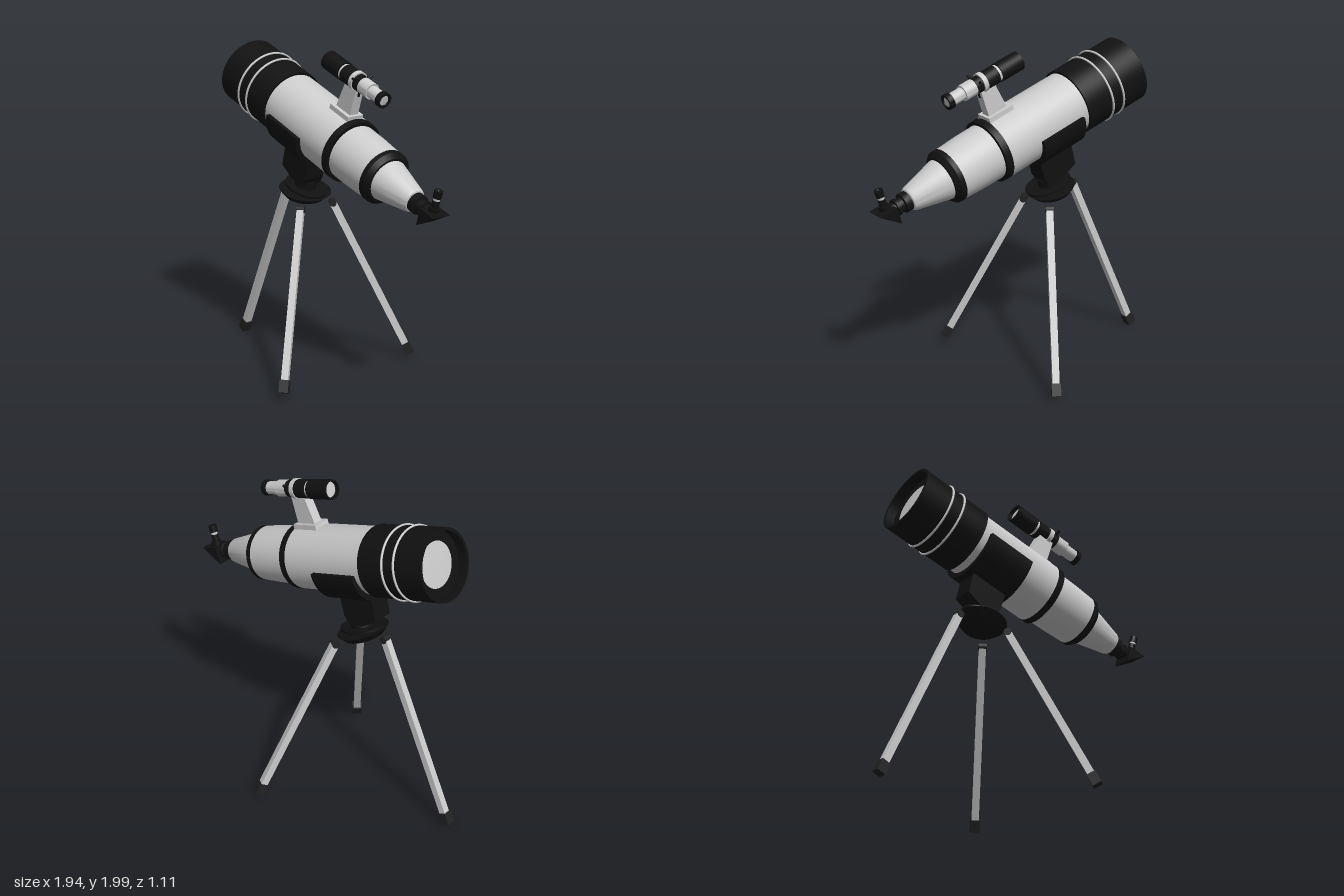
import * as THREE from 'three';
import { toCreasedNormals } from 'three/addons/utils/BufferGeometryUtils.js';

const light = new THREE.MeshStandardMaterial({ color: 0xcccccc });
const black = new THREE.MeshStandardMaterial({ color: 0x111111 });
const rubber = new THREE.MeshStandardMaterial({ color: 0x222222 });

function add(parent, name, geometry, material, x = 0, y = 0, z = 0) {
  const mesh = new THREE.Mesh(geometry, material);
  mesh.name = name;
  mesh.position.set(x, y, z);
  parent.add(mesh);
  return mesh;
}

// Turned part: pairs of [distance along the axis, radius]
function turned(profile, sides = 48) {
  const points = profile.map(([s, r]) => new THREE.Vector2(r, s));
  return toCreasedNormals(new THREE.LatheGeometry(points, sides), 0.5);
}
const alongX = (profile, sides) => turned(profile, sides).rotateZ(-Math.PI / 2);

// Flat outline given thickness, centred on z = 0
function slab(outline, width) {
  const shape = new THREE.Shape(outline.map(([x, y]) => new THREE.Vector2(x, y)));
  return new THREE.ExtrudeGeometry(shape, { depth: width, bevelEnabled: false })
    .translate(0, 0, -width / 2);
}

function buildMainTube(scope) {
  add(scope, 'dewHood', alongX([[0.06, 0.12], [0.06, 0.19], [0, 0.19], [0, 0.208],
    [0.455, 0.208], [0.455, 0.19]], 64), black);
  add(scope, 'objectiveLens', alongX([[0.055, 0], [0.06, 0.132]]), light);
  for (const u of [0.19, 0.274]) {
    add(scope, 'hoodBand', new THREE.TorusGeometry(0.211, 0.007, 8, 64).rotateY(Math.PI / 2), light, u);
  }
  add(scope, 'mainBarrel', alongX([[0.45, 0.194], [1.04, 0.194]], 64), light);
  add(scope, 'frontCollar', alongX([[1.035, 0.19], [1.035, 0.197], [1.078, 0.195], [1.078, 0.165]], 64), black);
  add(scope, 'rearBarrel', alongX([[1.07, 0.173], [1.2, 0.171], [1.36, 0.163]], 64), light);
  add(scope, 'rearCollar', alongX([[1.355, 0.15], [1.355, 0.166], [1.385, 0.165], [1.412, 0.14], [1.412, 0.12]], 64), black);
  add(scope, 'tailCone', alongX([[1.41, 0.127], [1.635, 0.075], [1.65, 0.067], [1.656, 0.055], [1.656, 0]]), light);
}

function buildEyepiece(scope) {
  add(scope, 'focuser', alongX([[1.65, 0.05], [1.655, 0.059], [1.695, 0.059], [1.7, 0.044], [1.725, 0.044],
    [1.727, 0.05], [1.745, 0.05], [1.747, 0.036], [1.77, 0.036]], 32), black);
  add(scope, 'diagonalPrism', slab([[1.76, 0.03], [1.76, -0.077], [1.876, 0.03]], 0.12), black);
  add(scope, 'eyepieceHolder', turned([[0.025, 0.03], [0.055, 0.03], [0.055, 0.022], [0.1, 0.022]], 24), black, 1.807);
  add(scope, 'eyepieceBand', turned([[0.098, 0.019], [0.118, 0.019]], 24), light, 1.807);
  add(scope, 'eyepieceCup', turned([[0.115, 0], [0.115, 0.025], [0.158, 0.025], [0.158, 0.015], [0.148, 0]], 24), black, 1.807);
}

function buildFinder(scope) {
  // Base shoe and stalk
  add(scope, 'finderShoe', new THREE.BoxGeometry(0.175, 0.035, 0.11), light, 0.945, 0.198);
  add(scope, 'finderStalk', slab([[0.882, 0.21], [1.015, 0.21], [1.02, 0.385], [0.92, 0.385]], 0.06), light);

  // Small sighting scope
  const finder = new THREE.Group();
  finder.name = 'finderScope';
  finder.position.set(0.709, 0.418, 0);
  scope.add(finder);
  add(finder, 'finderHood', alongX([[0.025, 0.04], [0.02, 0.049], [0, 0.049], [0, 0.058], [0.157, 0.058], [0.157, 0.045]], 32), black);
  add(finder, 'finderLens', alongX([[0.02, 0], [0.022, 0.05]], 32), light);
  add(finder, 'finderRing', alongX([[0.155, 0.05], [0.177, 0.05]], 32), light);
  add(finder, 'finderBody', alongX([[0.175, 0.04], [0.175, 0.055], [0.26, 0.055], [0.262, 0.05], [0.335, 0.05], [0.335, 0.04]], 32), black);
  add(finder, 'finderClamp', alongX([[0.262, 0.048], [0.262, 0.059], [0.29, 0.059], [0.29, 0.048]], 32), light);
  add(finder, 'finderRearBarrel', alongX([[0.333, 0.04], [0.333, 0.049], [0.415, 0.049], [0.415, 0.038], [0.505, 0.038]], 32), light);
  add(finder, 'finderEyecup', alongX([[0.498, 0.036], [0.498, 0.047], [0.53, 0.047], [0.53, 0.032], [0.522, 0.03]], 32), black);
  add(finder, 'finderEyeLens', alongX([[0.523, 0.032], [0.525, 0]], 32), light);
  for (let i = 0; i < 3; i++) {
    const screw = add(finder, 'clampScrew', new THREE.CylinderGeometry(0.008, 0.008, 0.04, 10).translate(0, 0.062, 0), black, 0.31);
    screw.rotation.x = Math.PI / 3 + i * Math.PI * 2 / 3;
  }
}

function buildMount(scope) {
  // Half-round cradle hugging the underside of the barrel
  const cradle = new THREE.Shape();
  cradle.moveTo(-0.218, -0.015);
  cradle.absarc(0, -0.015, 0.218, Math.PI, Math.PI * 2, false);
  cradle.lineTo(0.185, -0.015);
  cradle.absarc(0, -0.015, 0.185, Math.PI * 2, Math.PI, true);
  const cradleGeometry = new THREE.ExtrudeGeometry(cradle, { depth: 0.315, bevelEnabled: false, curveSegments: 32 });
  add(scope, 'cradle', toCreasedNormals(cradleGeometry.rotateY(Math.PI / 2), 0.5), black, 0.503);

  add(scope, 'mountBlock', slab([[0.542, -0.2], [0.785, -0.2], [0.787, -0.335], [0.77, -0.385],
    [0.66, -0.395], [0.55, -0.358]], 0.13), black);
  add(scope, 'neck', new THREE.CylinderGeometry(0.062, 0.068, 0.07, 24), black, 0.725, -0.405);
  add(scope, 'turntable', new THREE.CylinderGeometry(0.143, 0.143, 0.014, 40).scale(1, 1, 0.8), black, 0.727, -0.424);
  add(scope, 'pivot', new THREE.CylinderGeometry(0.09, 0.09, 0.025, 32), black, 0.727, -0.438);
  add(scope, 'tripodHead', toCreasedNormals(new THREE.CylinderGeometry(0.145, 0.11, 0.04, 40), 0.5).scale(1, 1, 1.15), black, 0.727, -0.463);
}

// Square leg with a rubber foot, running from the hinge to the ground
function buildLeg(model, top, bottom) {
  const up = top.clone().sub(bottom);
  const length = up.length();
  up.normalize();
  const side = new THREE.Vector3(0, 1, 0).cross(up).normalize();
  const out = side.clone().cross(up);
  const leg = new THREE.Group();
  leg.name = 'tripodLeg';
  leg.position.copy(bottom);
  leg.quaternion.setFromRotationMatrix(new THREE.Matrix4().makeBasis(side, up, out));
  add(leg, 'legBar', new THREE.BoxGeometry(0.042, length - 0.03, 0.042), light, 0, length / 2 + 0.015);
  add(leg, 'foot', new THREE.BoxGeometry(0.056, 0.075, 0.056), rubber, 0, 0.0375);
  add(leg, 'hinge', new THREE.CylinderGeometry(0.023, 0.023, 0.05, 16).rotateZ(Math.PI / 2), rubber, 0, length);
  model.add(leg);
}

export function createModel() {
  const model = new THREE.Group();
  model.name = 'telescope';

  // Everything above the legs shares the tilt of the tube
  const scope = new THREE.Group();
  scope.name = 'tiltedAssembly';
  scope.position.set(-0.836, 1.751, 0.02);
  scope.rotation.z = -THREE.MathUtils.degToRad(17.25);
  model.add(scope);
  buildMainTube(scope);
  buildEyepiece(scope);
  buildFinder(scope);
  buildMount(scope);

  const v = (x, y, z) => new THREE.Vector3(x, y, z);
  buildLeg(model, v(-0.44, 1.11, 0.02), v(-0.948, 0.014, 0.02));
  buildLeg(model, v(-0.165, 1.03, 0.135), v(0.17, 0.055, 0.515));
  buildLeg(model, v(-0.17, 1.03, -0.11), v(0.09, 0.035, -0.52));
  return model;
}
